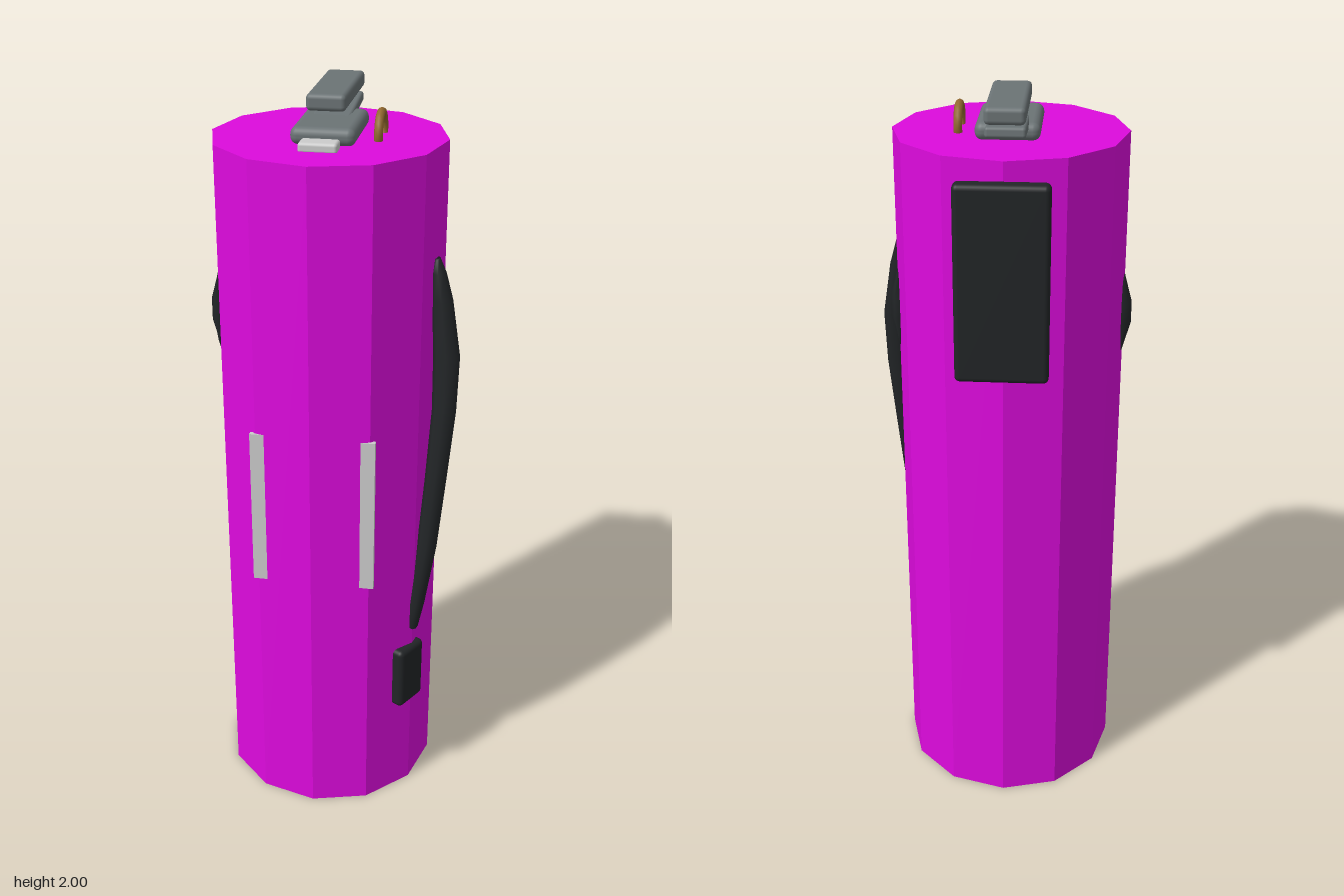
import * as THREE from 'three';
import { RoundedBoxGeometry } from 'three/addons/geometries/RoundedBoxGeometry.js';

const mat = (color, flatShading = false) => new THREE.MeshStandardMaterial({ color, flatShading });
const magenta = mat(0xdd0add, true);
const black = mat(0x222527);
const steel = mat(0x6b7375);
const silver = mat(0xcccccc);
const brass = mat(0x946a30);

export function createModel() {
  const group = new THREE.Group();
  const CX = -0.02, CZ = 0.02; // axis of the cylinder

  const add = (name, geometry, material, x = 0, y = 0, z = 0) => {
    const mesh = new THREE.Mesh(geometry, material);
    mesh.name = name;
    mesh.position.set(x, y, z);
    group.add(mesh);
    return mesh;
  };
  const box = (name, material, size, pos, r = 0.01) =>
    add(name, new RoundedBoxGeometry(...size, 3, r), material, ...pos);

  // Closed upright sweep through rings [x, y, z, rx, rz], listed bottom to top
  const sweep = (rings, sides) => {
    const pos = [], idx = [];
    for (const [x, y, z, rx, rz] of rings) {
      for (let i = 0; i < sides; i++) {
        const a = (i / sides) * Math.PI * 2;
        pos.push(x + Math.cos(a) * rx, y, z + Math.sin(a) * rz);
      }
    }
    for (let k = 0; k < rings.length - 1; k++) {
      for (let i = 0; i < sides; i++) {
        const j = (i + 1) % sides;
        const a = k * sides + i, b = k * sides + j;
        idx.push(a, a + sides, b, b, a + sides, b + sides);
      }
    }
    const top = (rings.length - 1) * sides;
    for (let i = 1; i < sides - 1; i++) {
      idx.push(0, i, i + 1, top, top + i + 1, top + i);
    }
    const g = new THREE.BufferGeometry();
    g.setAttribute('position', new THREE.Float32BufferAttribute(pos, 3));
    g.setIndex(idx);
    g.computeVertexNormals();
    return g;
  };

  // Twelve-sided body
  add('body', new THREE.CylinderGeometry(0.302, 0.302, 1.89, 12), magenta, CX, 0.945, CZ);

  // Bowed side handle
  add('sideHandle', sweep([
    [0.243, 0.54, 0.163, 0.013, 0.022],
    [0.25, 0.62, 0.161, 0.022, 0.025],
    [0.272, 0.8, 0.15, 0.027, 0.026],
    [0.288, 1.0, 0.136, 0.029, 0.026],
    [0.302, 1.2, 0.12, 0.032, 0.026],
    [0.302, 1.35, 0.106, 0.035, 0.026],
    [0.285, 1.5, 0.092, 0.027, 0.03],
    [0.273, 1.57, 0.086, 0.019, 0.027],
    [0.268, 1.605, 0.084, 0.008, 0.014],
  ], 8), black);

  // Block below the handle, turned to face outward
  box('handleBlock', black, [0.105, 0.19, 0.045], [0.228, 0.39, 0.178], 0.015)
    .rotation.y = Math.PI / 3;

  for (const s of [-1, 1]) {
    // Tapered lug on each flank
    add('sideLug', sweep([
      [0, -0.108, 0, 0.003, 0.012],
      [0, -0.085, 0, 0.009, 0.022],
      [0, -0.03, 0, 0.024, 0.026],
      [0, 0.03, 0, 0.024, 0.026],
      [0, 0.085, 0, 0.009, 0.022],
      [0, 0.108, 0, 0.003, 0.012],
    ], 6), black, CX + s * 0.299, 1.404, CZ);

    // Thin strips on the front
    add('frontStrip', new THREE.BoxGeometry(0.04, 0.44, 0.014), silver, CX + s * 0.145, 0.95, 0.281);
  }

  // Back plate and its mount
  box('backPlate', black, [0.235, 0.505, 0.046], [-0.018, 1.592, -0.302], 0.014);
  box('backMount', black, [0.2, 0.09, 0.06], [CX, 1.78, -0.265], 0.015);

  // Valve on the top
  box('valveBody', steel, [0.163, 0.045, 0.237], [-0.018, 1.91, 0.018], 0.02);
  box('lowerLever', steel, [0.1, 0.027, 0.21], [CX, 1.928, -0.105], 0.008).rotation.x = 0.09;
  box('upperLever', steel, [0.1, 0.042, 0.302], [CX, 1.979, -0.075], 0.012);
  box('nozzle', silver, [0.097, 0.026, 0.054], [-0.019, 1.898, 0.168], 0.008);

  // Pull ring, sunk halfway into the top
  add('pullRing', new THREE.TorusGeometry(0.047, 0.011, 8, 24), brass, 0.11, 1.904, 0.019)
    .rotation.y = Math.PI / 2;

  return group;
}
